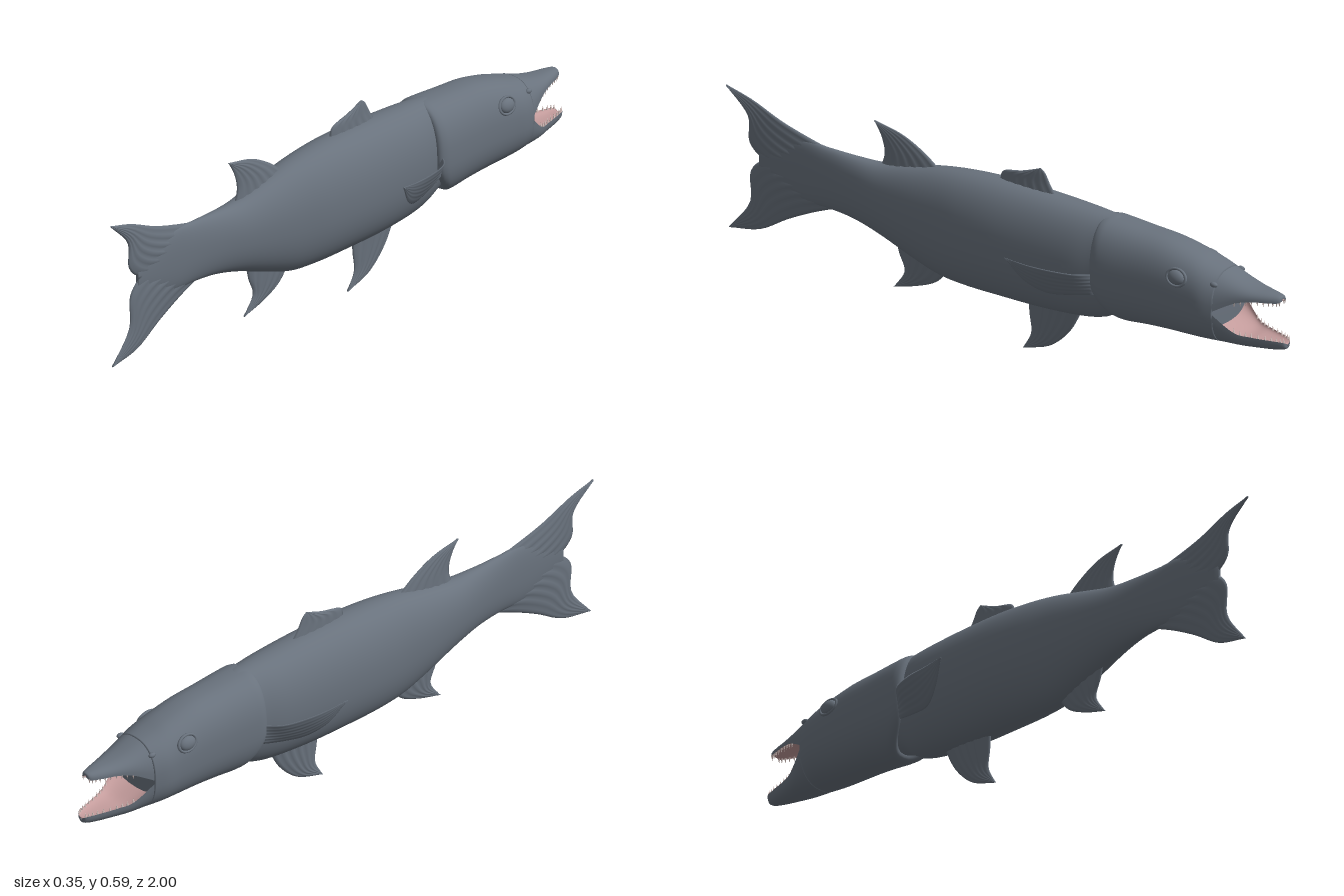
import * as THREE from 'three';

const skin = new THREE.MeshStandardMaterial({ color: 0x69727d, side: THREE.DoubleSide });
skin.name = 'slateSkin';
const flesh = new THREE.MeshStandardMaterial({ color: 0xc49c9c, side: THREE.DoubleSide });
flesh.name = 'pinkMouth';
const enamel = new THREE.MeshStandardMaterial({ color: 0xd8c4c0 });
enamel.name = 'paleTeeth';

const N = 48; // points round each cross-section

// Smooth interpolation through rows of numbers
function refine(rows, steps) {
  const out = [];
  for (let i = 0; i < rows.length - 1; i++) {
    const p = rows[Math.max(i - 1, 0)], a = rows[i], b = rows[i + 1], q = rows[Math.min(i + 2, rows.length - 1)];
    for (let s = 0; s < steps; s++) {
      const t = s / steps;
      out.push(a.map((v, k) => {
        const m0 = (b[k] - p[k]) / 2, m1 = (q[k] - v) / 2;
        return v + t * (m0 + t * (3 * (b[k] - v) - 2 * m0 - m1 + t * (2 * (v - b[k]) + m0 + m1)));
      }));
    }
  }
  out.push(rows[rows.length - 1]);
  return out;
}

// Join rings of points; "closed" wraps each ring and caps both ends
function surface(rings, closed) {
  const n = rings[0].length, pos = rings.flat(2), idx = [];
  const cols = closed ? n : n - 1;
  for (let i = 0; i < rings.length - 1; i++) {
    for (let j = 0; j < cols; j++) {
      const k = (j + 1) % n, a = i * n + j, b = i * n + k, c = a + n, d = b + n;
      idx.push(a, b, c, b, d, c);
    }
  }
  if (closed) {
    const last = (rings.length - 1) * n;
    for (let j = 1; j < n - 1; j++) idx.push(0, j + 1, j, last, last + j, last + j + 1);
  }
  const g = new THREE.BufferGeometry();
  g.setAttribute('position', new THREE.Float32BufferAttribute(pos, 3));
  g.setIndex(idx);
  g.computeVertexNormals();
  return g;
}

// Cross-section [z, top, mid, bottom, halfWidth] as a superellipse arc
function section([z, top, mid, bottom, w], power, from, to, closed, warp) {
  const count = Math.round(N * (to - from)), ring = [];
  for (let j = 0; j < count + (closed ? 0 : 1); j++) {
    const a = (from + (j / count) * (to - from)) * Math.PI * 2;
    const c = Math.cos(a), s = Math.sin(a);
    const sx = Math.sign(c) * Math.abs(c) ** (2 / power), sy = Math.abs(s) ** (2 / power);
    const y = mid + (s > 0 ? top - mid : bottom - mid) * sy;
    ring.push([w * sx, y, z + (warp ? warp(z, s) : 0)]);
  }
  return ring;
}

function mesh(parent, name, geometry, material) {
  const m = new THREE.Mesh(geometry, material);
  m.name = name;
  parent.add(m);
  return m;
}

function loft(parent, name, rows, material, power, from = 0, to = 1, warp) {
  const closed = to - from === 1;
  const rings = refine(rows, 6).map(r => section(r, power, from, to, closed, warp));
  return mesh(parent, name, surface(rings, closed), material);
}

// Fin web between two edges of [x, y, z] points, lens-shaped and lightly ribbed
function fin(parent, name, edgeA, edgeB, thick) {
  const curve = e => new THREE.CatmullRomCurve3(e.map(p => new THREE.Vector3(...p)));
  const A = curve(edgeA), B = curve(edgeB), rings = [], U = 20, V = 24;
  for (let i = 0; i <= U; i++) {
    const u = i / U, a = A.getPoint(u), b = B.getPoint(u), ring = [];
    for (let j = 0; j < V * 2; j++) {
      const v = j <= V ? j / V : 2 - j / V, side = j <= V ? 1 : -1;
      const p = a.clone().lerp(b, v);
      const t = thick * (1 - 0.75 * u) * Math.sqrt(Math.max(0, Math.sin(Math.PI * v)));
      ring.push([p.x + side * t * (1 + 0.15 * Math.sin(v * 38)), p.y, p.z]);
    }
    rings.push(ring);
  }
  return mesh(parent, name, surface(rings, true), skin);
}

// Median fin from [z, y] edges
const flat = e => e.map(([z, y]) => [0, y, z]);

export function createModel() {
  const fish = new THREE.Group();
  fish.name = 'fish';

  // Trunk from inside the head to the tail root
  loft(fish, 'trunk', [
    [-0.55, 0.47, 0.36, 0.25, 0.06], [-0.42, 0.508, 0.355, 0.215, 0.082], [-0.36, 0.515, 0.35, 0.185, 0.088],
    [-0.28, 0.52, 0.345, 0.17, 0.1], [-0.15, 0.526, 0.34, 0.161, 0.106], [0, 0.528, 0.34, 0.16, 0.107],
    [0.12, 0.522, 0.34, 0.16, 0.1], [0.22, 0.51, 0.345, 0.168, 0.088], [0.32, 0.49, 0.35, 0.198, 0.076],
    [0.44, 0.466, 0.358, 0.24, 0.058], [0.54, 0.463, 0.364, 0.264, 0.04], [0.63, 0.465, 0.368, 0.272, 0.027],
    [0.74, 0.465, 0.368, 0.275, 0.017], [0.88, 0.4, 0.366, 0.33, 0.005],
  ], skin, 2.15);

  // Head with the gill cover swept forward underneath
  const gillSweep = (z, s) => -0.085 * Math.max(0, -s) ** 2 * Math.max(0, (z + 0.6) / 0.25);
  loft(fish, 'head', [
    [-0.79, 0.449, 0.335, 0.222, 0.088], [-0.745, 0.462, 0.34, 0.22, 0.098], [-0.69, 0.479, 0.345, 0.217, 0.099],
    [-0.6, 0.498, 0.35, 0.214, 0.1], [-0.5, 0.505, 0.35, 0.21, 0.103], [-0.41, 0.511, 0.35, 0.204, 0.107],
    [-0.375, 0.512, 0.35, 0.205, 0.105], [-0.358, 0.505, 0.35, 0.215, 0.094], [-0.355, 0.48, 0.35, 0.24, 0.07],
  ], skin, 2.4, 0, 1, gillSweep);

  // Jaws: grey outside, pink inside
  const upper = [
    [-0.984, 0.4, 0.396, 0.397, 0.004], [-0.98, 0.409, 0.391, 0.394, 0.018], [-0.95, 0.413, 0.388, 0.397, 0.031],
    [-0.9, 0.417, 0.385, 0.402, 0.047], [-0.85, 0.428, 0.373, 0.4, 0.064], [-0.785, 0.45, 0.338, 0.37, 0.088],
  ];
  const lower = [
    [-1, 0.258, 0.26, 0.254, 0.004], [-0.995, 0.262, 0.268, 0.243, 0.018], [-0.96, 0.258, 0.27, 0.235, 0.031],
    [-0.9, 0.256, 0.272, 0.229, 0.048], [-0.85, 0.256, 0.281, 0.226, 0.065], [-0.785, 0.28, 0.333, 0.222, 0.088],
  ];
  loft(fish, 'upperJaw', upper, skin, 2.4, 0, 0.5);
  loft(fish, 'palate', upper, flesh, 2.4, 0.5, 1);
  loft(fish, 'mouthFloor', lower, flesh, 2.4, 0, 0.5);
  loft(fish, 'lowerJaw', lower, skin, 2.4, 0.5, 1);

  // Teeth just inside both jaw rims
  const toothShape = new THREE.ConeGeometry(0.0035, 0.016, 6);
  for (const [rows, dir] of [[upper, -1], [lower, 1]]) {
    const rim = refine(rows, 6);
    for (let i = 6; i < 26; i += 2) {
      for (const side of [-1, 1]) {
        const tooth = mesh(fish, 'tooth', toothShape, enamel);
        tooth.position.set(side * (rim[i][4] - 0.004), rim[i][2] + dir * 0.006, rim[i][0]);
        if (dir < 0) tooth.rotation.x = Math.PI;
      }
    }
  }

  // Eyes, nostrils and paired fins
  for (const s of [-1, 1]) {
    const eye = new THREE.Group();
    eye.name = s > 0 ? 'leftEye' : 'rightEye';
    eye.position.set(s * 0.09, 0.42, -0.665);
    eye.rotation.z = s * 0.25;
    fish.add(eye);
    mesh(eye, 'eyeball', new THREE.SphereGeometry(1, 24, 16), skin).scale.set(0.014, 0.022, 0.029);
    const lid = mesh(eye, 'eyeRim', new THREE.TorusGeometry(0.033, 0.005, 8, 32), skin);
    lid.rotation.y = Math.PI / 2;
    lid.scale.y = 0.78;

    const nostril = mesh(fish, 'nostril', new THREE.SphereGeometry(1, 12, 8), skin);
    nostril.scale.set(0.008, 0.008, 0.013);
    nostril.position.set(s * 0.07, 0.42, -0.785);

    fin(fish, s > 0 ? 'leftPectoralFin' : 'rightPectoralFin',
      [[s * 0.085, 0.355, -0.38], [s * 0.135, 0.36, -0.335], [s * 0.16, 0.363, -0.26], [s * 0.168, 0.364, -0.18], [s * 0.172, 0.37, -0.11]],
      [[s * 0.085, 0.285, -0.37], [s * 0.1, 0.272, -0.3], [s * 0.118, 0.267, -0.22], [s * 0.145, 0.3, -0.16], [s * 0.17, 0.366, -0.112]],
      0.008);
  }

  // Median fins
  fin(fish, 'frontDorsalFin',
    flat([[-0.18, 0.515], [-0.155, 0.55], [-0.135, 0.585], [-0.12, 0.596]]),
    flat([[0.025, 0.515], [0.015, 0.552], [-0.05, 0.57], [-0.112, 0.592]]), 0.011);
  fin(fish, 'rearDorsalFin',
    flat([[0.23, 0.49], [0.29, 0.535], [0.37, 0.575], [0.472, 0.596]]),
    flat([[0.45, 0.45], [0.436, 0.5], [0.445, 0.545], [0.47, 0.592]]), 0.013);
  fin(fish, 'pelvicFin',
    flat([[-0.27, 0.18], [-0.225, 0.1], [-0.155, 0.036], [-0.058, 0.003]]),
    flat([[-0.075, 0.18], [-0.08, 0.12], [-0.086, 0.06], [-0.06, 0.008]]), 0.014);
  fin(fish, 'analFin',
    flat([[0.2, 0.19], [0.25, 0.135], [0.32, 0.103], [0.404, 0.08]]),
    flat([[0.4, 0.26], [0.385, 0.195], [0.365, 0.14], [0.4, 0.083]]), 0.013);

  // Forked tail
  fin(fish, 'upperTailLobe',
    flat([[0.6, 0.455], [0.7, 0.478], [0.8, 0.506], [0.91, 0.55], [1, 0.573]]),
    flat([[0.6, 0.367], [0.86, 0.365], [0.917, 0.41], [0.922, 0.49], [0.998, 0.569]]), 0.014);
  fin(fish, 'lowerTailLobe',
    flat([[0.6, 0.28], [0.69, 0.243], [0.78, 0.198], [0.88, 0.14], [0.99, 0.118]]),
    flat([[0.6, 0.367], [0.86, 0.367], [0.912, 0.32], [0.915, 0.22], [0.988, 0.122]]), 0.014);

  return fish;
}
